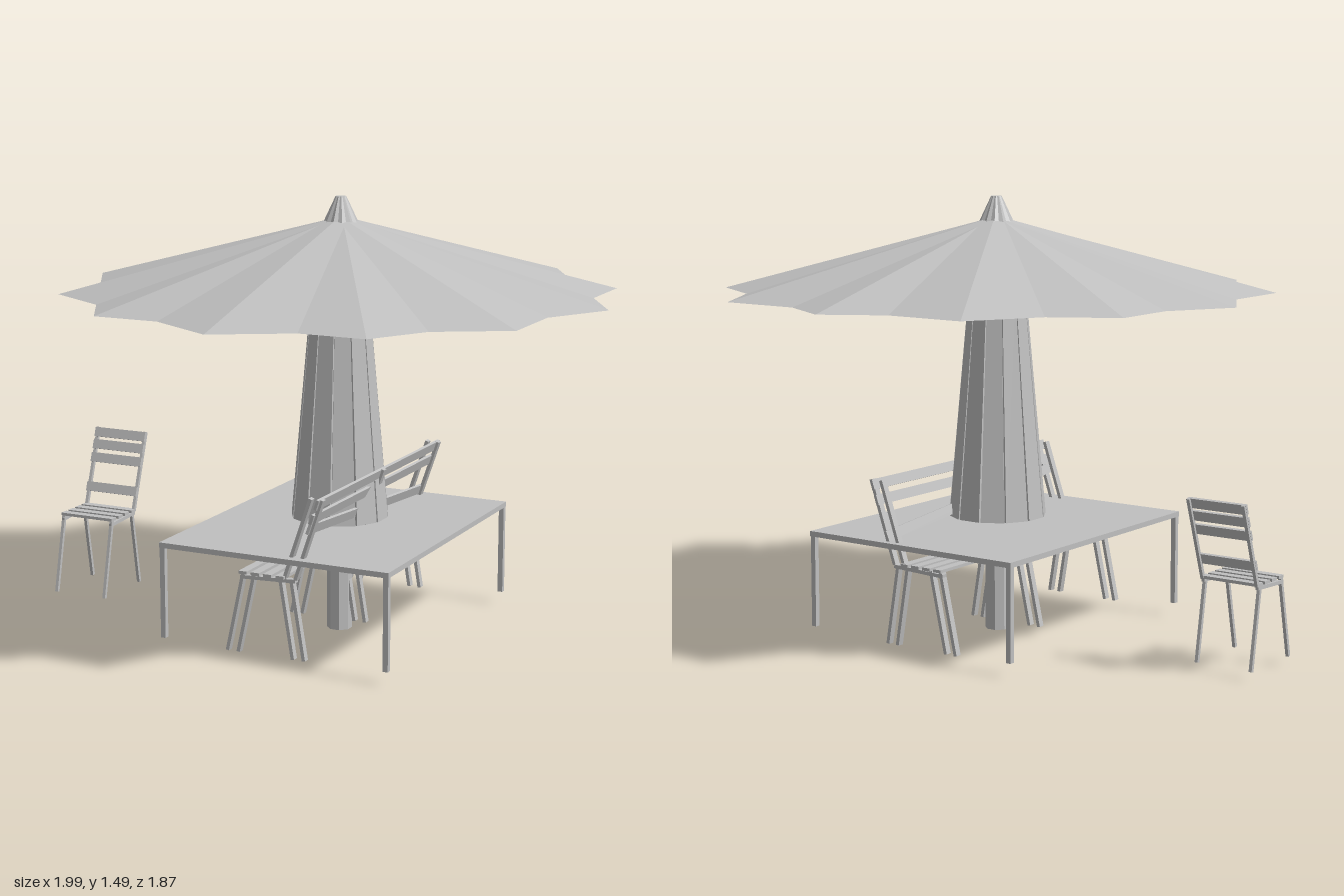
import * as THREE from 'three';

const CX = 0.057; // parasol axis

export function createModel() {
  const model = new THREE.Group();
  const grey = new THREE.MeshStandardMaterial({ color: 0xc0c0c0 });
  grey.name = 'light grey';
  grey.side = THREE.DoubleSide;

  function add(parent, name, geometry, x = 0, y = 0, z = 0) {
    const mesh = new THREE.Mesh(geometry, grey);
    mesh.name = name;
    mesh.position.set(x, y, z);
    parent.add(mesh);
    return mesh;
  }

  // flat-sided frustum
  function frustum(rTop, rBottom, height, sides, turn = 0, open = true) {
    const g = new THREE.CylinderGeometry(rTop, rBottom, height, sides, 1, open).toNonIndexed();
    g.rotateY(turn);
    g.computeVertexNormals();
    return g;
  }

  // rectangular bar running from point a to point b
  function bar(parent, name, a, b, w, d) {
    const from = new THREE.Vector3(...a), to = new THREE.Vector3(...b);
    const mesh = add(parent, name, new THREE.BoxGeometry(w, d, from.distanceTo(to)));
    mesh.position.copy(from).add(to).multiplyScalar(0.5);
    mesh.lookAt(to);
    return mesh;
  }

  // parasol: two crossed six-sided canopies form a twelve-pointed rim
  const parasol = new THREE.Group();
  parasol.name = 'parasol';
  parasol.position.x = CX;
  model.add(parasol);
  for (let i = 0; i < 2; i++) {
    const turn = i * Math.PI / 6;
    add(parasol, 'canopy', frustum(0.02, 0.936, 0.245, 6, turn), 0, 1.2925, i ? -0.018 : -0.004);
    add(parasol, 'finial', frustum(0.018, 0.07, 0.11, 6, turn, false), 0, 1.433, -0.01);
  }
  add(parasol, 'pole', frustum(0.043, 0.043, 1.4, 8, Math.PI / 8, false), 0, 0.7, -0.005);

  // tapering sleeve of twelve planks around the pole
  const sleeve = new THREE.Group();
  sleeve.name = 'sleeve';
  sleeve.position.z = -0.005;
  parasol.add(sleeve);
  add(sleeve, 'sleeveCore', frustum(0.083, 0.152, 0.77, 12, Math.PI / 12), 0, 0.785, 0);
  for (let i = 0; i < 12; i++) {
    const plank = new THREE.BoxGeometry(0.08, 0.77, 0.014);
    const p = plank.attributes.position;
    for (let v = 0; v < p.count; v++) {
      const top = p.getY(v) > 0;
      p.setX(v, p.getX(v) * (top ? 0.6 : 1));
      p.setZ(v, p.getZ(v) + (top ? 0.088 : 0.155));
    }
    plank.computeVertexNormals();
    add(sleeve, 'sleevePlank', plank, 0, 0.785, 0).rotation.y = i * Math.PI / 6;

    // canopy ribs
    const a = (i + 0.5) * Math.PI / 6, s = Math.sin(a), c = Math.cos(a);
    bar(sleeve, 'rib', [0.05 * s, 1.125, 0.05 * c], [0.26 * s, 1.235, 0.26 * c], 0.02, 0.02);
  }

  // table
  const table = new THREE.Group();
  table.name = 'table';
  table.position.set(0.053, 0, -0.005);
  model.add(table);
  add(table, 'tableTop', new THREE.BoxGeometry(0.83, 0.018, 1.01), 0, 0.366, 0);
  for (const sx of [-1, 1]) for (const sz of [-1, 1])
    add(table, 'tableLeg', new THREE.BoxGeometry(0.018, 0.315, 0.018), sx * 0.405, 0.205, sz * 0.494);

  // slatted seat facing +z; frames lists the leg positions along its width
  function slattedSeat(name, width, frames, backSlats, offsets, bw) {
    const g = new THREE.Group();
    g.name = name;
    model.add(g);
    for (const x of frames) {
      for (const o of offsets) {
        bar(g, 'frontLeg', [x, 0.03, 0.15 + o], [x, 0.3, 0.09 + o], bw, 0.012);
        bar(g, 'rearLeg', [x, 0.03, -0.09 + o], [x, 0.3, -0.045 + o], bw, 0.012);
        bar(g, 'backPost', [x, 0.3, -0.06 + o], [x, 0.575, -0.155 + o], bw, 0.012);
      }
      bar(g, 'seatRail', [x, 0.287, 0.1], [x, 0.295, -0.06 + offsets[0]], bw, 0.012);
    }
    for (let i = 0; i < 4; i++)
      add(g, 'seatSlat', new THREE.BoxGeometry(width, 0.01, 0.03), 0, 0.305, 0.085 - i * 0.045);
    for (const [y, tilt] of backSlats) {
      const z = -0.052 - (y - 0.3) * 0.345 + offsets[0];
      const slat = add(g, 'backSlat', new THREE.BoxGeometry(width, 0.034, 0.01), 0, y, z);
      slat.rotation.set(-0.33, 0, tilt);
    }
    return g;
  }

  // chair standing apart
  const chair = slattedSeat('chair', 0.21, [-0.099, 0.099],
    [[0.56, 0], [0.518, 0], [0.472, 0], [0.37, 0]], [0], 0.011);
  chair.position.x = -0.895;

  // long bench under the table, its back rising through the top
  const bench = slattedSeat('bench', 0.98, [-0.468, 0, 0.468],
    [[0.56, 0], [0.51, 0], [0.435, 0.09]], [-0.04, 0], 0.022);
  bench.position.set(0.025, 0, -0.008);
  bench.rotation.y = -Math.PI / 2;

  return model;
}
